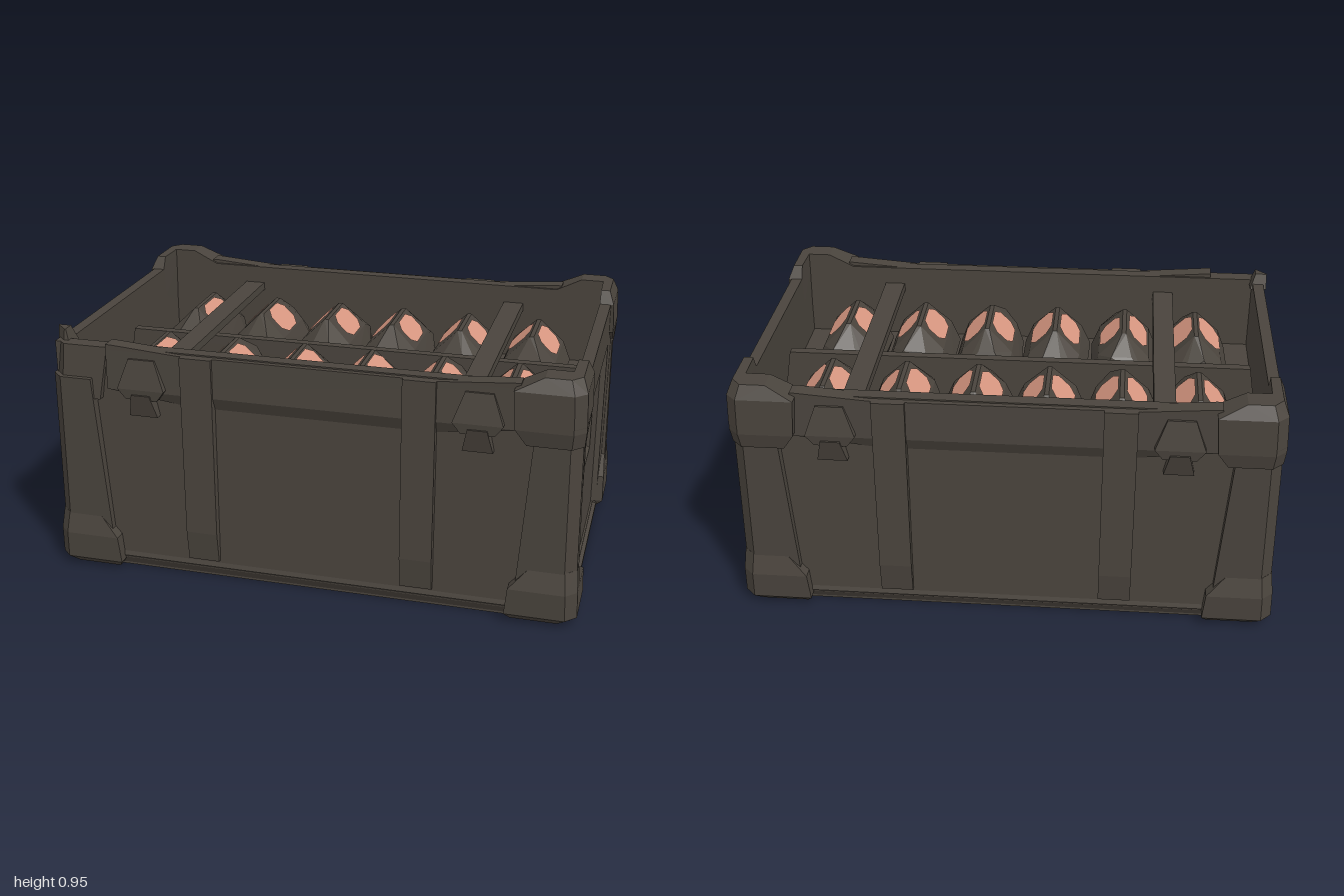
import * as THREE from 'three';
import { ConvexGeometry } from 'three/addons/geometries/ConvexGeometry.js';

const dark = new THREE.MeshStandardMaterial({ color: 0x4a443d });
dark.name = 'darkMetal';
const pink = new THREE.MeshStandardMaterial({ color: 0xdb9983 });
pink.name = 'salmonPatch';

// Small seeded generator, returns -1..1
let seed = 7;
const rnd = () => {
  seed = (seed * 16807) % 2147483647;
  return (seed / 2147483647) * 2 - 1;
};

function add(parent, name, geometry, material = dark) {
  const mesh = new THREE.Mesh(geometry, material);
  mesh.name = name;
  parent.add(mesh);
  return mesh;
}

// Convex solid spanning stacked rectangles given as [y, x0, x1, z0, z1]
function stack(...rects) {
  const pts = [];
  for (const [y, x0, x1, z0, z1] of rects)
    for (const x of [x0, x1]) for (const z of [z0, z1]) pts.push(new THREE.Vector3(x, y, z));
  return new ConvexGeometry(pts);
}

// Same, mirrored to the corner (sx, sz), with the outer upright edge bevelled
function bevelStack(sx, sz, rects) {
  const c = 0.04;
  const pts = [];
  for (const [y, x0, x1, z0, z1] of rects)
    for (const [x, z] of [[x0, z0], [x1, z0], [x0, z1], [x1 - c, z1], [x1, z1 - c]])
      pts.push(new THREE.Vector3(x * sx, y, z * sz));
  return new ConvexGeometry(pts);
}

// Pressed side panel facing +x from nested rectangles [zFront, zBack, y0, y1, x]
function pressedPanel(rects) {
  const pos = [];
  const loops = rects.map(([f, b, y0, y1, x]) => [[x, y0, f], [x, y0, b], [x, y1, b], [x, y1, f]]);
  const quad = (a, b, c, d) => pos.push(...a, ...b, ...c, ...a, ...c, ...d);
  for (let k = 0; k + 1 < loops.length; k++)
    for (let i = 0; i < 4; i++) {
      const j = (i + 1) % 4;
      quad(loops[k][i], loops[k][j], loops[k + 1][j], loops[k + 1][i]);
    }
  quad(...loops[loops.length - 1]);
  const g = new THREE.BufferGeometry();
  g.setAttribute('position', new THREE.Float32BufferAttribute(pos, 3));
  g.computeVertexNormals();
  return g;
}

// Corner post with a foot and a raised cap; the worn one has lost its cap
function cornerPost(sx, sz, worn) {
  const post = new THREE.Group();
  post.name = 'cornerPost';
  const part = (name, ...rects) => add(post, name, bevelStack(sx, sz, rects));
  if (worn) {
    part('wornTop', [0.7, 0.79, 0.98, 0.53, 0.61], [0.9, 0.76, 0.97, 0.53, 0.59]);
    part('wornSide', [0.7, 0.93, 0.98, 0.5, 0.61], [0.9, 0.93, 0.97, 0.5, 0.59]);
    part('wornTip', [0.88, 0.92, 0.985, 0.48, 0.56], [0.94, 0.94, 0.985, 0.5, 0.545]);
  } else {
    part('topCapFront', [0.7, 0.79, 0.985, 0.53, 0.625], [0.76, 0.75, 0.99, 0.53, 0.64],
      [0.9, 0.74, 0.985, 0.53, 0.64], [0.95, 0.84, 0.965, 0.53, 0.615]);
    part('topCapSide', [0.72, 0.93, 0.985, 0.5, 0.625], [0.78, 0.93, 0.99, 0.4, 0.64],
      [0.9, 0.93, 0.985, 0.385, 0.64], [0.95, 0.93, 0.965, 0.41, 0.615]);
  }
  part('postFront', [0.1, 0.77, 0.99, 0.53, 0.615], [0.78, 0.82, 0.98, 0.53, 0.62]);
  part('postSide', [0.1, 0.93, 0.99, 0.5, 0.615], [0.78, 0.93, 0.98, 0.55, 0.62]);
  part('footFront', [0.005, 0.76, 0.97, 0.53, 0.6], [0.035, 0.74, 1, 0.53, 0.63],
    [0.14, 0.75, 0.997, 0.53, 0.635], [0.22, 0.82, 0.99, 0.53, 0.615]);
  part('footSide', [0.005, 0.9, 0.97, 0.4, 0.6], [0.035, 0.9, 1, 0.385, 0.63],
    [0.14, 0.9, 0.997, 0.4, 0.635], [0.21, 0.9, 0.985, 0.53, 0.615]);
  return post;
}

// One long wall and one end wall; turned half round for the rest
function halfCrate() {
  const half = new THREE.Group();
  half.name = 'crateHalf';
  add(half, 'longWall', stack([0.04, -0.96, 0.96, 0.53, 0.59], [0.9, -0.94, 0.94, 0.53, 0.58]));
  add(half, 'lowerEdge', stack([0, -0.93, 0.93, 0.5, 0.565], [0.05, -0.93, 0.93, 0.5, 0.595],
    [0.1, -0.93, 0.93, 0.5, 0.58]));
  add(half, 'topBand', stack([0.68, -0.35, 0.35, 0.54, 0.575], [0.745, -0.76, 0.76, 0.54, 0.605],
    [0.895, -0.76, 0.76, 0.54, 0.6]));
  for (const s of [-1, 1]) {
    // Raised vertical rib
    add(half, 'rib', stack([0.08, s * 0.41 - 0.06, s * 0.41 + 0.06, 0.55, 0.605],
      [0.2, s * 0.41 - 0.06, s * 0.41 + 0.06, 0.55, 0.62],
      [0.895, s * 0.41 - 0.06, s * 0.41 + 0.06, 0.55, 0.615]));
    // Flared edge where the band rises to the corner
    add(half, 'rimShoulder', stack([0.88, s * 0.42, s * 0.76, 0.54, 0.6],
      [0.895, s * 0.48, s * 0.76, 0.54, 0.6], [0.915, s * 0.74, s * 0.76, 0.54, 0.6]));
    // Latch
    const latch = new THREE.Group();
    latch.name = 'latch';
    latch.position.x = s * 0.62;
    add(latch, 'latchPlate', stack([0.72, -0.06, 0.06, 0.57, 0.625], [0.76, -0.09, 0.09, 0.57, 0.63],
      [0.87, -0.05, 0.05, 0.57, 0.61]));
    add(latch, 'latchTab', stack([0.65, -0.055, 0.055, 0.58, 0.61], [0.74, -0.035, 0.035, 0.57, 0.635]));
    half.add(latch);
  }
  add(half, 'endPanel', pressedPanel([
    [0.58, -0.58, 0.005, 0.9, 0.974], [0.39, -0.39, 0.02, 0.73, 0.974],
    [0.38, -0.38, 0.03, 0.7, 0.952], [0.16, -0.18, 0.365, 0.56, 0.946],
    [0.13, -0.14, 0.41, 0.53, 0.89]]));
  add(half, 'endWall', stack([0.56, 0.93, 0.94, -0.57, 0.57], [0.9, 0.93, 0.94, -0.57, 0.57]));
  add(half, 'endRim', stack([0.74, 0.93, 0.973, -0.57, 0.57], [0.9, 0.93, 0.973, -0.57, 0.57]));
  return half;
}

// Ridged lump with a salmon patch on each slope
function lump(x, z) {
  const g = new THREE.Group();
  g.name = 'lump';
  g.position.set(x, 0, z);
  const pts = [];
  const put = (px, py, pz, j = 0) => pts.push(new THREE.Vector3(px + rnd() * j, py + rnd() * j, pz + rnd() * j));
  for (const a of [-1, 1]) for (const b of [-1, 1]) {
    put(a * 0.008, 0.82, b * 0.11);
    put(a * 0.1, 0.73, b * 0.13);
    put(a * 0.132, 0.65, b * 0.13, 0.006);
    put(a * 0.09, 0.68, b * 0.22, 0.014);
    put(a * 0.04, 0.75, b * 0.19, 0.012);
    put(a * 0.11, 0.58, b * 0.225);
  }
  add(g, 'lumpBody', new ConvexGeometry(pts));
  const outline = [[1, 0.5], [0.6, 1], [-0.6, 1], [-1, 0.5], [-1, -0.5], [-0.6, -1], [0.6, -1], [1, -0.5]];
  for (const turn of [0, Math.PI]) {
    const w = 0.09 + rnd() * 0.01, h = 0.057 + rnd() * 0.005;
    const patch = new THREE.ShapeGeometry(new THREE.Shape(
      outline.map(([u, v]) => new THREE.Vector2(u * w, v * h))));
    patch.rotateY(Math.PI / 2);
    patch.rotateZ(0.797);
    patch.translate(0.057, 0.779, rnd() * 0.008);
    patch.rotateY(turn);
    add(g, 'lumpPatch', patch, pink);
  }
  return g;
}

export function createModel() {
  const model = new THREE.Group();
  model.name = 'crate';

  // Shell
  const front = halfCrate();
  const back = front.clone();
  back.rotation.y = Math.PI;
  model.add(front, back);
  for (const sx of [-1, 1]) for (const sz of [-1, 1])
    model.add(cornerPost(sx, sz, sx < 0 && sz > 0));
  add(model, 'base', stack([0, -0.96, 0.96, -0.57, 0.57], [0.03, -0.96, 0.96, -0.57, 0.57]));
  add(model, 'innerFloor', stack([0.57, -0.94, 0.94, -0.55, 0.55], [0.6, -0.94, 0.94, -0.55, 0.55]));

  // Contents in two rows
  for (const z of [-0.26, 0.26])
    for (const x of [-0.695, -0.41, -0.135, 0.135, 0.41, 0.695]) model.add(lump(x, z));

  // Divider and holding bars
  add(model, 'divider', stack([0.59, -0.93, 0.93, -0.02, 0.02], [0.77, -0.9, 0.9, -0.018, 0.018]));
  for (const s of [-1, 1])
    add(model, 'crossBar', stack([0.8, s * 0.565 - 0.042, s * 0.565 + 0.042, -0.54, 0.54],
      [0.83, s * 0.565 - 0.04, s * 0.565 + 0.04, -0.54, 0.54]));
  return model;
}
